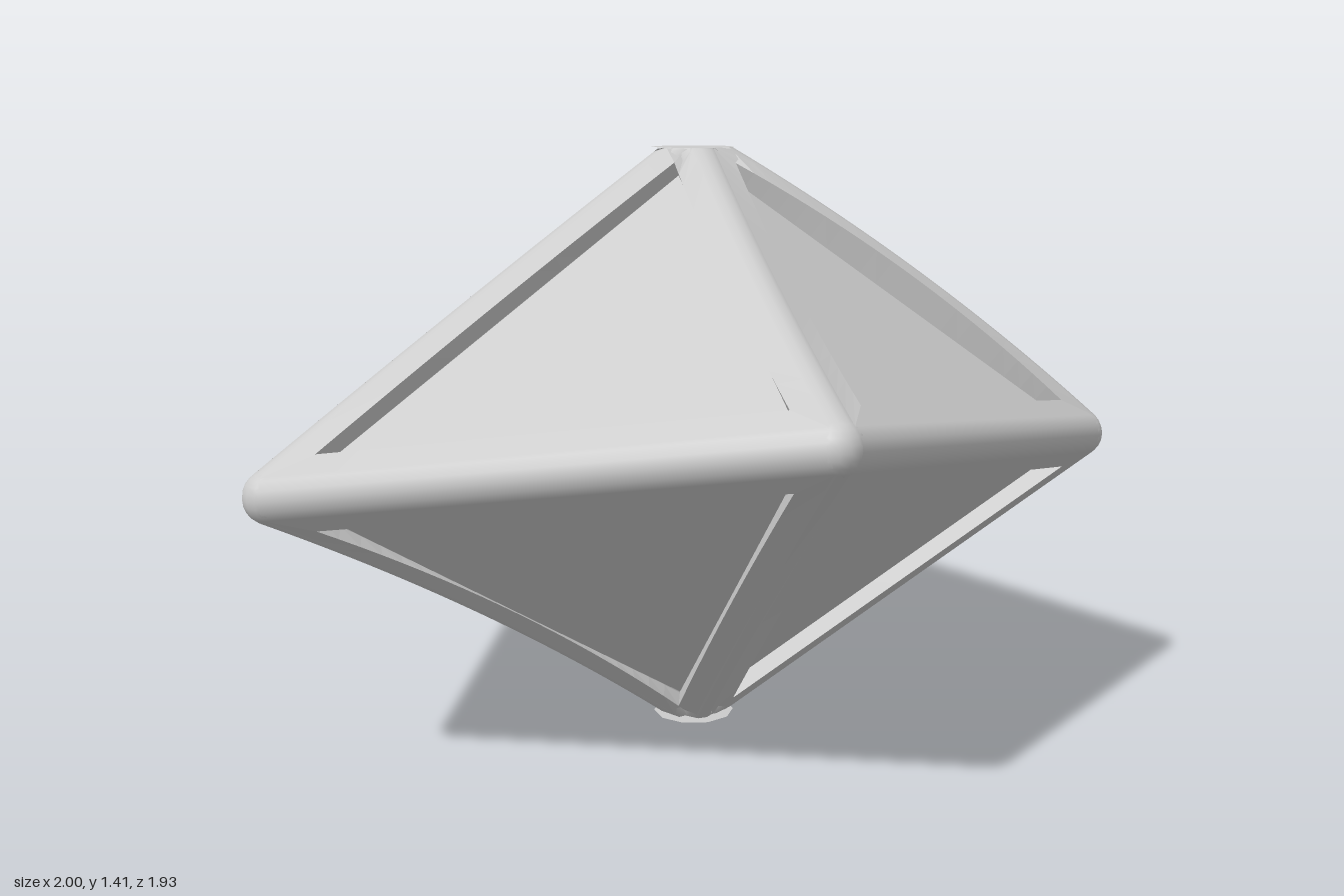
import * as THREE from 'three';

const TOP = 1.405, R = 0.06, INSET = 0.055, FLOOR = 0.022, STEPS = 20;
const v = (x, y, z) => new THREE.Vector3(x, y, z);
const clampY = y => THREE.MathUtils.clamp(y, 0, TOP);

export function createModel() {
  const group = new THREE.Group();
  const mat = new THREE.MeshStandardMaterial({ color: 0xcccccc });
  const thin = new THREE.MeshStandardMaterial({ color: 0xcccccc, flatShading: true, side: THREE.DoubleSide });
  const add = (name, geo, m = mat) => {
    const mesh = new THREE.Mesh(geo, m);
    mesh.name = name;
    group.add(mesh);
    return mesh;
  };

  // Slightly irregular pentagonal ring and the two tips; bow bends single struts in or out
  const ring = [v(0.935, 0.705, 0), v(0.27, 0.765, -0.905), v(-0.79, 0.7, -0.67),
    v(-0.94, 0.695, 0.54), v(0.21, 0.865, 0.905)];
  const centre = v(-0.02, 0.7, 0);
  const tips = [
    { name: 'upper', p: v(-0.02, 1.39, 0), bow: [0.03, 0, 0, 0.005, -0.02] },
    { name: 'lower', p: v(-0.02, 0.015, 0), bow: [0, 0, -0.01, -0.03, -0.01] },
  ];

  // Sideways shift at the middle of an edge, pointing away from the centre
  const bowVector = (a, b, bow) => {
    const along = b.clone().sub(a).normalize();
    const out = a.clone().lerp(b, 0.5).sub(centre);
    return out.addScaledVector(along, -out.dot(along)).setLength(1).multiplyScalar(bow);
  };

  // Round bar along an edge, cut flat at the top and bottom
  const bar = (name, a, b, bow = 0) => {
    const mid = a.clone().lerp(b, 0.5).addScaledVector(bowVector(a, b, bow), 2);
    const geo = new THREE.TubeGeometry(new THREE.QuadraticBezierCurve3(a, mid, b), 32, R, 16);
    const pos = geo.attributes.position;
    for (let i = 0; i < pos.count; i++) pos.setY(i, clampY(pos.getY(i)));
    add(name, geo);
  };

  // One face: flat frame strips level with the bars, walls down, and a sunken panel.
  // bows belongs to the edges ab, bc and ca.
  const face = (name, corners, bows) => {
    const [a, b, c] = corners;
    const normal = b.clone().sub(a).cross(c.clone().sub(a)).normalize();
    if (normal.dot(a.clone().sub(centre)) < 0) normal.negate();
    const la = b.distanceTo(c), lb = c.distanceTo(a), lc = a.distanceTo(b);
    const sum = la + lb + lc;
    const inner = v(0, 0, 0).addScaledVector(a, la / sum).addScaledVector(b, lb / sum).addScaledVector(c, lc / sum);
    const inradius = 2 * new THREE.Triangle(a, b, c).getArea() / sum;
    const rim = corners.map(p => inner.clone().lerp(p, 1 - INSET / inradius));
    const panel = rim.map(p => p.clone().addScaledVector(normal, FLOOR));

    const points = [];
    for (let i = 0; i < 3; i++) {
      const j = (i + 1) % 3;
      const shift = bowVector(corners[i], corners[j], bows[i]);
      const row = t => {
        const lift = normal.clone().multiplyScalar(R).addScaledVector(shift, 4 * t * (1 - t));
        const edge = corners[i].clone().lerp(corners[j], t).add(lift);
        edge.y = clampY(edge.y);
        return [edge, rim[i].clone().lerp(rim[j], t).add(lift), panel[i].clone().lerp(panel[j], t)];
      };
      for (let k = 0; k < STEPS; k++) {
        const p = row(k / STEPS), q = row((k + 1) / STEPS);
        for (let s = 0; s < 2; s++) points.push(p[s], q[s], q[s + 1], p[s], q[s + 1], p[s + 1]);
      }
    }
    const frame = new THREE.BufferGeometry().setFromPoints(points);
    frame.computeVertexNormals();
    add(name + 'Frame', frame, thin);
    const sheet = new THREE.BufferGeometry().setFromPoints(panel);
    sheet.computeVertexNormals();
    add(name + 'Panel', sheet, thin);
  };

  ring.forEach((p, i) => {
    const j = (i + 1) % 5;
    bar('ringBar', p, ring[j]);
    add('ringJoint', new THREE.SphereGeometry(R, 16, 12)).position.copy(p);
    for (const tip of tips) {
      bar(tip.name + 'Strut', p, tip.p, tip.bow[i]);
      // Corner order keeps the winding outward above and below the ring
      if (tip.name === 'upper') face('upper', [ring[j], p, tip.p], [0, tip.bow[i], tip.bow[j]]);
      else face('lower', [p, ring[j], tip.p], [0, tip.bow[j], tip.bow[i]]);
    }
  });

  // Flat ten-sided ends on both tips
  const topCap = add('topCap', new THREE.CircleGeometry(0.1, 10), thin);
  topCap.position.set(-0.02, TOP + 0.001, 0);
  topCap.rotation.x = -Math.PI / 2;
  const bottomCap = add('bottomCap', new THREE.CircleGeometry(0.1, 10), thin);
  bottomCap.position.set(-0.02, -0.001, 0);
  bottomCap.rotation.x = Math.PI / 2;
  return group;
}
